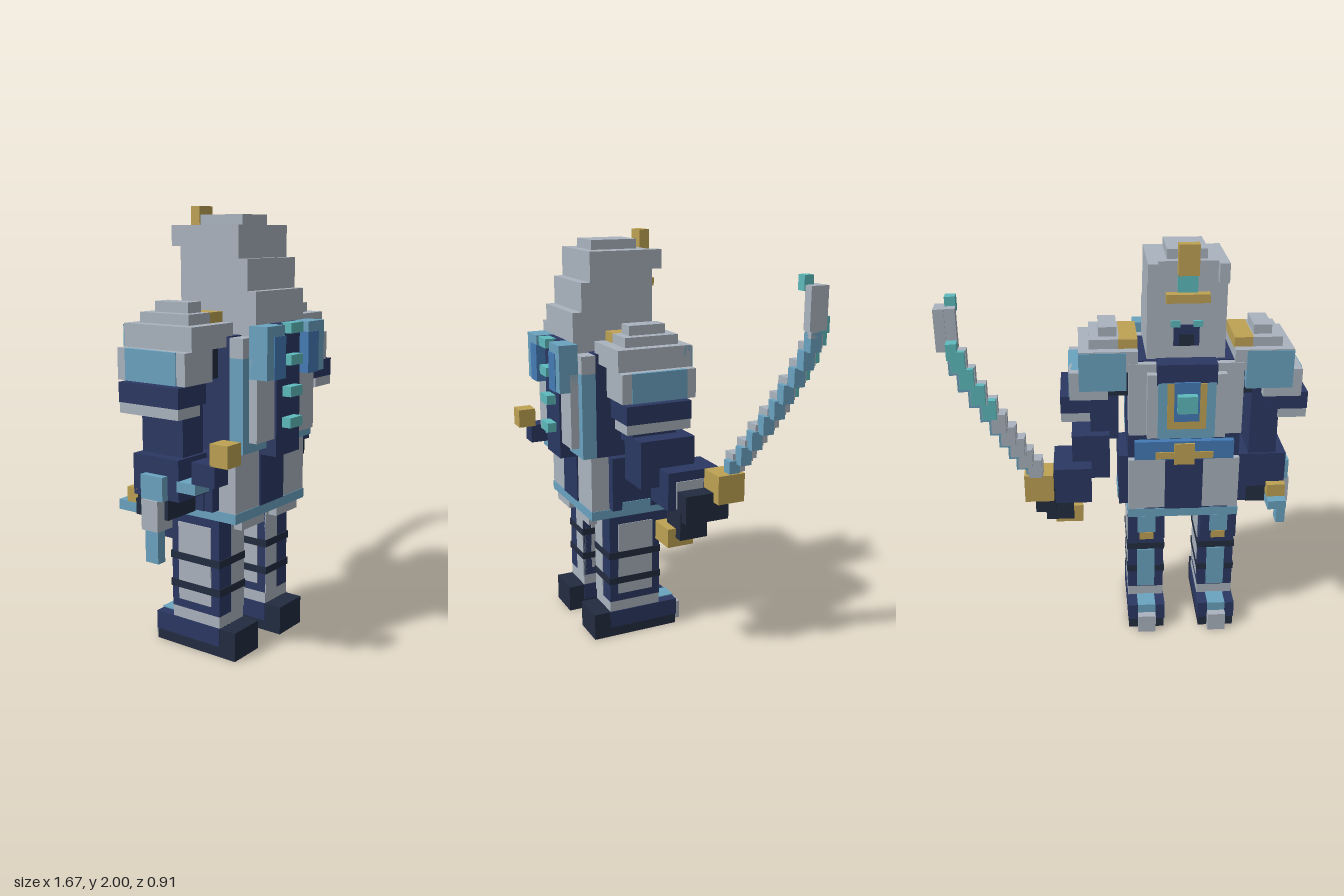
import * as THREE from 'three';

const material = (name, color) => {
  const m = new THREE.MeshStandardMaterial({ color });
  m.name = name;
  return m;
};

export function createModel() {
  const model = new THREE.Group();
  const grey = material('steel grey', 0xaab3be);
  const navy = material('navy', 0x2b3863);
  const dark = material('dark slate', 0x222c40);
  const sky = material('light blue', 0x6aa3c0);
  const blue = material('mid blue', 0x437bb5);
  const teal = material('teal', 0x5dbabc);
  const gold = material('gold', 0xbda253);

  // Box given by its limits on each axis
  const box = (name, mat, x0, x1, y0, y1, z0, z1) => {
    const mesh = new THREE.Mesh(new THREE.BoxGeometry(x1 - x0, y1 - y0, z1 - z0), mat);
    mesh.name = name;
    mesh.position.set((x0 + x1) / 2, (y0 + y1) / 2, (z0 + z1) / 2);
    model.add(mesh);
  };
  // Body parts are symmetrical about x = AXIS: mid is centred, pair is mirrored
  const AXIS = -0.25;
  const mid = (name, mat, half, ...yz) => box(name, mat, AXIS - half, AXIS + half, ...yz);
  const pair = (name, mat, a, b, ...yz) => {
    box(name, mat, AXIS + a, AXIS + b, ...yz);
    box(name, mat, AXIS - b, AXIS - a, ...yz);
  };

  // Boots
  pair('boot', dark, 0.09, 0.27, 0, 0.135, -0.135, 0.315);
  pair('bootSide', navy, 0.086, 0.274, 0.05, 0.137, -0.137, 0.23);
  pair('bootInstep', sky, 0.135, 0.225, 0.09, 0.142, -0.142, -0.04);
  pair('toeCap', grey, 0.135, 0.225, 0, 0.095, -0.18, -0.13);

  // Legs with side and back panels, straps and knee guards
  pair('leg', navy, 0.09, 0.27, 0.19, 0.68, -0.04, 0.23);
  pair('ankle', grey, 0.09, 0.27, 0.135, 0.19, -0.038, 0.23);
  pair('calfPanel', grey, 0.09, 0.18, 0.19, 0.64, 0.2, 0.234);
  for (const [y0, y1] of [[0.23, 0.285], [0.32, 0.42], [0.455, 0.6]])
    pair('legSidePanel', grey, 0.086, 0.274, y0, y1, 0, 0.185);
  for (const y of [0.285, 0.42])
    pair('legStrap', dark, 0.085, 0.275, y, y + 0.035, -0.044, 0.236);
  pair('shinStripe', sky, 0.135, 0.225, 0.2, 0.42, -0.05, -0.03);
  pair('kneeGuard', navy, 0.09, 0.27, 0.51, 0.69, -0.09, 0);
  pair('kneePlate', sky, 0.135, 0.225, 0.55, 0.64, -0.094, -0.08);
  pair('kneeBadge', gold, 0.145, 0.215, 0.51, 0.55, -0.096, -0.08);

  // Skirt
  mid('skirt', grey, 0.27, 0.64, 0.955, -0.09, 0.32);
  mid('skirtHem', sky, 0.273, 0.64, 0.685, -0.093, 0.323);
  mid('skirtBackStripe', navy, 0.092, 0.685, 0.955, 0.3, 0.327);
  mid('skirtFrontStripe', navy, 0.092, 0.685, 0.955, -0.097, -0.08);
  pair('hipPlate', navy, 0.26, 0.315, 0.69, 0.955, -0.04, 0.23);
  pair('hipPatch', sky, 0.3, 0.319, 0.688, 0.73, 0.03, 0.18);
  pair('skirtTail', grey, 0.05, 0.22, 0.6, 0.64, 0.275, 0.318);

  // Torso, belt and chest armour
  mid('torso', navy, 0.27, 0.955, 1.455, -0.06, 0.29);
  mid('belt', blue, 0.24, 0.955, 1.05, -0.09, -0.05);
  mid('beltBand', gold, 0.14, 0.96, 0.995, -0.096, -0.08);
  mid('beltBuckle', gold, 0.05, 0.93, 1.04, -0.1, -0.08);
  mid('chestPlate', grey, 0.27, 1.09, 1.45, -0.095, 0);
  mid('breastPlate', grey, 0.185, 1.09, 1.41, -0.135, -0.09);
  mid('chestFrame', sky, 0.135, 1.09, 1.37, -0.14, -0.12);
  mid('chestTrim', gold, 0.092, 1.14, 1.37, -0.144, -0.12);
  mid('chestInset', blue, 0.06, 1.18, 1.375, -0.148, -0.12);
  mid('chestGem', teal, 0.046, 1.235, 1.32, -0.185, -0.1);
  mid('neckCollar', navy, 0.14, 1.36, 1.46, -0.137, 0.2);

  // Back armour with spine and raised collar
  mid('backPlate', sky, 0.27, 0.955, 1.365, 0.28, 0.36);
  mid('backPlateTop', grey, 0.27, 1.365, 1.45, 0.2, 0.36);
  pair('backPanel', grey, 0.092, 0.225, 1, 1.36, 0.35, 0.4);
  mid('spineStrip', navy, 0.092, 0.92, 1.5, 0.3, 0.41);
  for (let i = 0; i < 4; i++) {
    const y = 1.045 + i * 0.138;
    mid('spineStud', teal, 0.047, y, y + 0.045, 0.4, 0.455);
  }
  pair('backCollar', sky, 0.092, 0.225, 1.275, 1.5, 0.36, 0.452);
  pair('backCollarInset', blue, 0.089, 0.175, 1.272, 1.455, 0.37, 0.456);

  // Stepped hood
  mid('hoodBase', grey, 0.183, 1.41, 1.64, -0.04, 0.365);
  mid('hoodMiddle', grey, 0.183, 1.64, 1.775, -0.04, 0.32);
  mid('hoodUpper', grey, 0.183, 1.775, 1.915, -0.04, 0.275);
  mid('hoodTop', grey, 0.092, 1.915, 1.96, 0, 0.23);
  pair('browHorn', grey, 0.137, 0.183, 1.825, 1.915, -0.09, -0.03);

  // Face and crest
  mid('visor', navy, 0.06, 1.52, 1.62, -0.046, -0.03);
  mid('visorSlot', dark, 0.035, 1.52, 1.575, -0.049, -0.03);
  pair('eye', teal, 0.03, 0.075, 1.61, 1.64, -0.05, -0.03);
  mid('browBand', gold, 0.1, 1.735, 1.775, -0.09, -0.03);
  mid('browGem', teal, 0.046, 1.775, 1.87, -0.055, -0.03);
  mid('crest', gold, 0.047, 1.86, 2, -0.09, -0.04);

  // Stepped pauldrons with gold shoulder bands and cuffs
  pair('pauldronTop', grey, 0.32, 0.405, 1.555, 1.6, 0, 0.18);
  pair('pauldronUpper', grey, 0.31, 0.45, 1.5, 1.555, -0.045, 0.22);
  pair('shoulderBand', gold, 0.225, 0.315, 1.5, 1.555, -0.045, 0.22);
  pair('pauldronMiddle', grey, 0.225, 0.5, 1.41, 1.51, -0.09, 0.275);
  pair('pauldronLower', grey, 0.365, 0.545, 1.275, 1.41, -0.09, 0.275);
  pair('pauldronSidePanel', sky, 0.5, 0.549, 1.275, 1.41, -0.045, 0.23);
  pair('pauldronFrontPanel', sky, 0.28, 0.5, 1.32, 1.505, -0.095, -0.05);
  pair('armpit', dark, 0.26, 0.37, 1.275, 1.415, -0.04, 0.23);
  pair('cuff', navy, 0.41, 0.59, 1.19, 1.275, -0.045, 0.275);
  pair('cuffEdge', grey, 0.45, 0.588, 1.145, 1.19, -0.043, 0.273);

  // Right arm, hanging straight
  box('rightUpperArm', navy, -0.705, -0.57, 0.93, 1.3, -0.04, 0.185);
  box('rightForearm', navy, -0.755, -0.523, 0.775, 0.955, -0.05, 0.2);
  box('rightHand', dark, -0.755, -0.57, 0.685, 0.775, -0.04, 0.14);
  box('rightWrist', navy, -0.57, -0.523, 0.69, 0.775, -0.04, 0.185);
  box('rightArmGuard', sky, -0.79, -0.75, 0.775, 0.88, 0.02, 0.14);
  box('tassel', grey, -0.8, -0.705, 0.64, 0.775, 0.03, 0.12);
  box('tasselEnd', sky, -0.8, -0.755, 0.5, 0.64, 0.05, 0.12);

  // Short sheathed weapon passing through the right side, pommel at the back
  box('sheathPommel', gold, -0.755, -0.665, 0.955, 1.05, 0.365, 0.455);
  box('sheathGrip', navy, -0.755, -0.665, 0.865, 0.96, 0.27, 0.39);
  box('sheathCollar', sky, -0.757, -0.665, 0.82, 0.866, 0.19, 0.29);
  box('sheathGuard', gold, -0.755, -0.665, 0.73, 0.8, -0.09, -0.03);
  box('sheathTip', sky, -0.755, -0.665, 0.69, 0.735, -0.14, -0.04);

  // Left arm, reaching out and forward
  box('leftUpperArm', navy, 0.065, 0.2, 1.05, 1.32, -0.04, 0.185);
  box('leftElbow', navy, 0.11, 0.29, 0.865, 1.09, -0.09, 0.185);
  box('leftForearm', navy, 0.2, 0.38, 0.775, 0.955, -0.17, 0.09);
  box('leftForearmPlate', grey, 0.24, 0.385, 0.78, 0.91, -0.09, 0.05);
  box('leftHand', dark, 0.375, 0.47, 0.73, 0.865, -0.175, 0.045);
  box('leftFingers', dark, 0.29, 0.425, 0.64, 0.775, -0.09, 0.05);
  box('swordPommel', gold, 0.245, 0.38, 0.595, 0.685, -0.04, 0.09);
  box('swordGuard', gold, 0.38, 0.515, 0.82, 0.955, -0.23, -0.095);

  // Curved blade: a bright leading edge, grey core and blue trailing edge per step
  const blade = [
    [0.465, 0.985, -0.2], [0.505, 1.055, -0.235], [0.535, 1.13, -0.27], [0.57, 1.205, -0.305],
    [0.605, 1.28, -0.335], [0.64, 1.355, -0.355], [0.68, 1.435, -0.38], [0.72, 1.515, -0.395],
    [0.75, 1.595, -0.405],
  ];
  blade.forEach(([x, y, z], i) => {
    box('bladeCore', grey, x - 0.04, x + 0.03, y - 0.04, y + 0.06, z - 0.022, z + 0.022);
    box('bladeBack', sky, x - 0.01, x + 0.04, y - 0.055, y + 0.03, z - 0.01, z + 0.045);
    box('bladeEdge', i > 4 ? teal : grey, x - 0.035, x + 0.025, y - 0.03, y + 0.06, z - 0.045, z - 0.015);
  });
  box('bladeTipEdge', teal, 0.745, 0.79, 1.62, 1.69, -0.45, -0.4);
  box('bladeTipInner', grey, 0.745, 0.79, 1.6, 1.825, -0.4, -0.36);
  box('bladeTipOuter', grey, 0.79, 0.835, 1.64, 1.825, -0.405, -0.32);
  box('bladePoint', teal, 0.745, 0.79, 1.8, 1.865, -0.36, -0.315);

  return model;
}
